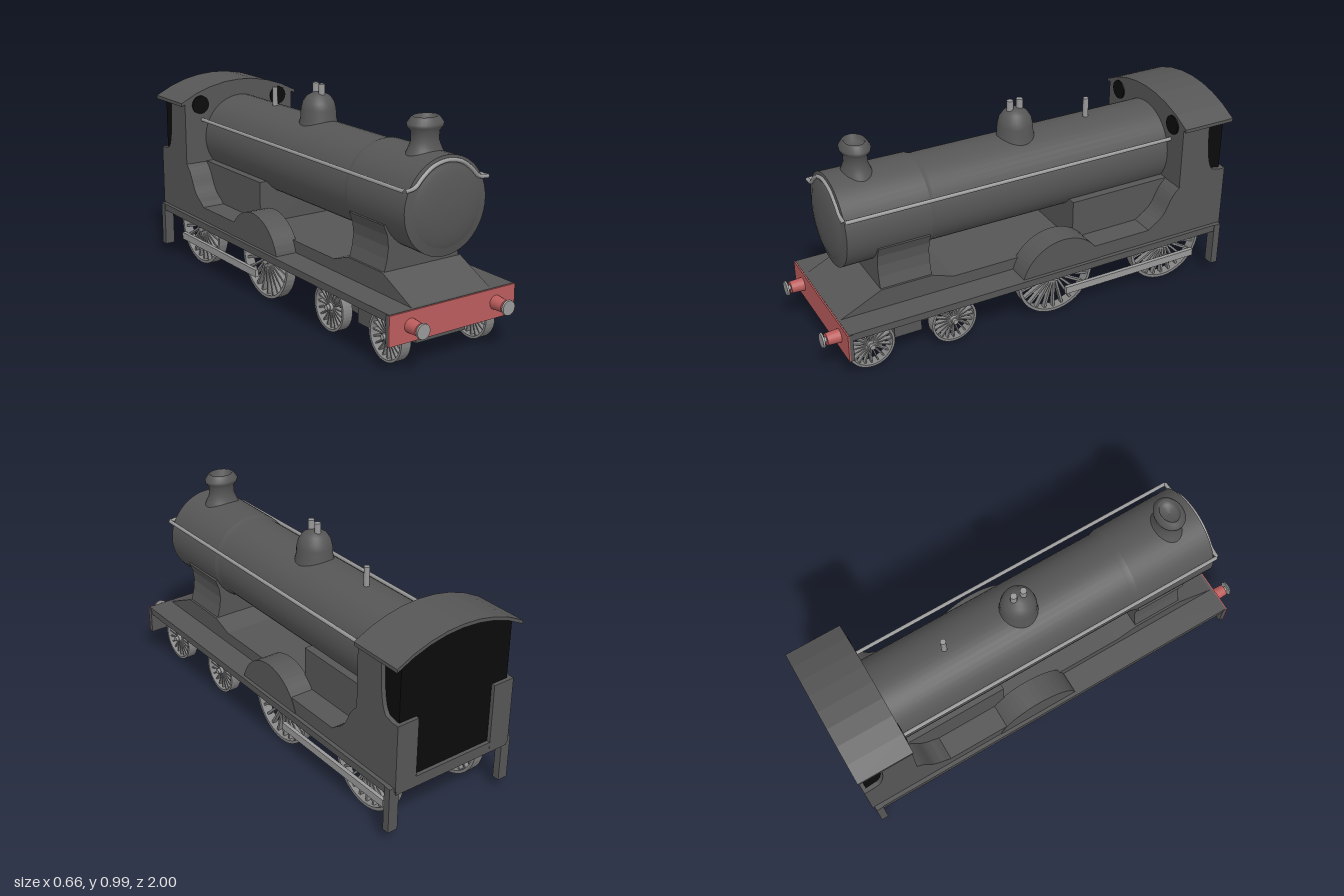
import * as THREE from 'three';

const mat = (name, color, side = THREE.FrontSide) => {
  const m = new THREE.MeshStandardMaterial({ color, side });
  m.name = name;
  return m;
};

export function createModel() {
  const group = new THREE.Group();
  const body = mat('dark grey paint', 0x565656);
  const steel = mat('bright steel', 0x999999);
  const wheelGrey = mat('wheel grey', 0x858585);
  const red = mat('buffer red', 0xbb5c5c);
  const black = mat('black opening', 0x0b0b0b);

  const add = (name, geo, material, x = 0, y = 0, z = 0, parent = group) => {
    const m = new THREE.Mesh(geo, material);
    m.name = name;
    m.position.set(x, y, z);
    parent.add(m);
    return m;
  };
  // box given by its limits
  const box = (name, material, x0, x1, y0, y1, z0, z1) =>
    add(name, new THREE.BoxGeometry(x1 - x0, y1 - y0, z1 - z0), material,
      (x0 + x1) / 2, (y0 + y1) / 2, (z0 + z1) / 2);
  const shapeOf = (pts) => new THREE.Shape(pts.map(([a, b]) => new THREE.Vector2(a, b)));
  const extrude = (shape, depth) =>
    new THREE.ExtrudeGeometry(shape, { depth, bevelEnabled: false, curveSegments: 10 });
  // side profile of (z, y) points, extruded from x0 to x1
  const sidePlate = (name, material, shape, x0, x1) =>
    add(name, extrude(shape, x1 - x0).rotateY(-Math.PI / 2), material, x1);
  // front profile of (x, y) points, extruded from z0 to z1
  const frontPlate = (name, material, shape, z0, z1) =>
    add(name, extrude(shape, z1 - z0), material, 0, 0, z0);
  const lathe = (pts, n = 48) =>
    new THREE.LatheGeometry(pts.map(([r, y]) => new THREE.Vector2(r, y)), n);
  const mirror = (half) => [...half, ...half.map(([x, y]) => [-x, y]).reverse()];

  // boiler, smokebox and door
  const axisY = 0.637;
  add('boiler', lathe([[0.196, -0.75], [0.196, 0.43], [0.205, 0.46]]).rotateX(Math.PI / 2), body, 0, axisY);
  add('smokebox', lathe([[0.205, 0.46], [0.209, 0.848]]).rotateX(Math.PI / 2), body, 0, axisY);
  add('smokeboxFront', lathe([[0.209, 0.848], [0.172, 0.857]]).rotateX(Math.PI / 2), body, 0, axisY);
  add('smokeboxDoor', lathe([[0.172, 0.857], [0.15, 0.866], [0.11, 0.874], [0.06, 0.88], [0, 0.882]])
    .rotateX(Math.PI / 2), body, 0, axisY);
  frontPlate('smokeboxSaddle', body, shapeOf(mirror([
    [0.2, 0.34], [0.182, 0.41], [0.176, 0.46], [0.182, 0.51], [0.2, 0.555]])), 0.47, 0.71);
  box('firebox', body, -0.195, 0.195, 0.26, 0.52, -0.75, -0.24);

  // oval chimney with a hollow top
  const chimney = add('chimney', lathe([
    [0.075, 0.81], [0.06, 0.85], [0.05, 0.88], [0.051, 0.92], [0.064, 0.938], [0.066, 0.952],
    [0.052, 0.974], [0.046, 0.98], [0.042, 0.974], [0.036, 0.95], [0, 0.945]], 32), body, 0, 0, 0.71);
  chimney.scale.x = 1.25;

  // dome with safety valves, and whistle
  add('dome', lathe([[0.092, 0.8], [0.082, 0.84], [0.08, 0.88], [0.072, 0.912], [0.054, 0.938],
    [0.028, 0.953], [0, 0.957]], 32), body, 0, 0, -0.045);
  for (const z of [-0.02, -0.067]) {
    add('safetyValve', new THREE.CylinderGeometry(0.015, 0.015, 0.06, 10), steel, 0, 0.965, z);
  }
  add('whistle', new THREE.CylinderGeometry(0.013, 0.013, 0.1, 10), steel, 0, 0.872, -0.41);

  // handrail running round the smokebox
  const V = (x, y, z) => new THREE.Vector3(x, y, z);
  const rail = new THREE.CurvePath();
  rail.add(new THREE.LineCurve3(V(-0.212, 0.73, -0.74), V(-0.212, 0.73, 0.852)));
  rail.add(new THREE.CatmullRomCurve3([
    [-0.212, 0.73], [-0.165, 0.738], [-0.125, 0.775], [-0.075, 0.81], [0, 0.826],
    [0.075, 0.81], [0.125, 0.775], [0.165, 0.738], [0.212, 0.73]].map(([x, y]) => V(x, y, 0.855))));
  rail.add(new THREE.LineCurve3(V(0.212, 0.73, 0.852), V(0.212, 0.73, -0.74)));
  for (const curve of rail.curves) {
    add('handrail', new THREE.TubeGeometry(curve, 40, 0.009, 8), steel);
  }

  // running plate, raised inner frame, beam
  box('runningPlate', body, -0.325, 0.325, 0.235, 0.268, -0.985, 0.912);
  sidePlate('raisedFrame', body, shapeOf([[0.912, 0.262], [0.71, 0.358], [0.47, 0.358],
    [0.37, 0.322], [-0.25, 0.322], [-0.25, 0.25], [0.912, 0.25]]), -0.205, 0.205);
  box('bufferBeam', body, -0.328, 0.328, 0.135, 0.266, 0.895, 0.912);
  box('bufferBeamFace', red, -0.328, 0.328, 0.135, 0.266, 0.912, 0.918);
  box('motionBracket', body, -0.21, 0.21, 0.168, 0.24, 0.07, 0.225);
  box('bogieFrame', body, -0.13, 0.13, 0.08, 0.13, 0.34, 0.84);
  box('bogieCentre', body, -0.19, 0.19, 0.08, 0.24, 0.525, 0.655);

  // cab: roof arc points, front wall, black inside, roof
  const arc = (half, drop) => Array.from({ length: 9 }, (_, i) => {
    const x = half * (1 - i / 4);
    return [x, 0.265 - drop + Math.sqrt(0.645 ** 2 - x * x)];
  });
  const cabShape = (half, base) => shapeOf([[-half, base], [half, base], ...arc(half, 0.008)]);
  frontPlate('cabFront', body, cabShape(0.305, 0.25), -0.765, -0.742);
  frontPlate('cabInterior', black, cabShape(0.285, 0.272), -0.978, -0.766);
  frontPlate('cabRoof', body, shapeOf([...arc(0.325, 0), ...arc(0.325, 0.016).reverse()]), -1, -0.74);
  box('cabRearSill', body, -0.3, 0.3, 0.235, 0.285, -0.995, -0.96);

  for (const s of [-1, 1]) {
    const span = (a, b) => (s > 0 ? [a, b] : [-b, -a]);

    // cab side with the curved doorway
    const side = shapeOf([[-0.742, 0.25], [-0.742, 0.83], [-0.885, 0.83]]);
    side.quadraticCurveTo(-0.885, 0.6, -0.925, 0.57);
    side.lineTo(-0.965, 0.56);
    side.lineTo(-0.995, 0.56);
    side.lineTo(-0.995, 0.25);
    sidePlate('cabSide', body, side, ...span(0.286, 0.306));
    box('cabRearPanel', body, ...span(0.2, 0.306), 0.25, 0.56, -0.996, -0.979);

    // lower side sheet sweeping up to the cab
    const sheet = shapeOf([[-0.25, 0.25], [-0.25, 0.335], [-0.585, 0.335], [-0.61, 0.355]]);
    sheet.bezierCurveTo(-0.7, 0.4, -0.67, 0.46, -0.745, 0.52);
    sheet.lineTo(-0.745, 0.25);
    sidePlate('sideSheet', body, sheet, ...span(0.19, 0.306));

    // splasher over the leading driving wheel
    const splasher = new THREE.Shape();
    splasher.absarc(-0.125, 0.212, 0.208, 0.22, Math.PI - 0.22);
    sidePlate('splasher', body, splasher, ...span(0.19, 0.308));

    // round cab window
    add('cabWindow', new THREE.CylinderGeometry(0.045, 0.045, 0.006, 28).rotateX(Math.PI / 2),
      black, s * 0.222, 0.805, -0.739);

    // buffer
    const turned = (r0, r1, len) => new THREE.CylinderGeometry(r0, r1, len, 20).rotateX(Math.PI / 2);
    add('bufferHousing', turned(0.027, 0.031, 0.062), red, s * 0.222, 0.205, 0.947);
    add('bufferShank', turned(0.011, 0.011, 0.02), steel, s * 0.222, 0.205, 0.984);
    add('bufferHead', turned(0.032, 0.034, 0.008), steel, s * 0.222, 0.205, 0.996);

    // rear step and side rod
    box('rearStep', body, ...span(0.28, 0.328), 0.056, 0.268, -0.987, -0.953);
    box('couplingRod', steel, ...span(0.252, 0.27), 0.092, 0.127, -0.88, -0.17);
  }

  // spoked wheels in pairs on their axles
  const wheel = (name, x, y, z, r, rim, spokes) => {
    const g = new THREE.Group();
    g.name = name;
    g.position.set(x, y, z);
    group.add(g);
    const i = r - rim;
    const tyre = new THREE.LatheGeometry([[i, -0.024], [r, -0.024], [r, 0.024], [i, 0.024], [i, -0.024]]
      .map(([a, b]) => new THREE.Vector2(a, b)), 40).toNonIndexed();
    tyre.computeVertexNormals();
    add('tyre', tyre.rotateZ(Math.PI / 2), wheelGrey, 0, 0, 0, g);
    add('hub', new THREE.CylinderGeometry(r * 0.16, r * 0.16, 0.05, 16).rotateZ(Math.PI / 2), steel, 0, 0, 0, g);
    for (let k = 0; k < spokes; k++) {
      const spoke = new THREE.BoxGeometry(0.022, i, r * 0.055).translate(0, i / 2, 0);
      add('spoke', spoke.rotateX((k / spokes) * Math.PI * 2), wheelGrey, 0, 0, 0, g);
    }
  };
  const axle = (z, y, r, rim, spokes, name) => {
    for (const s of [-1, 1]) wheel(name, s * 0.222, y, z, r, rim, spokes);
    add('axle', new THREE.CylinderGeometry(0.012, 0.012, 0.52, 12).rotateZ(Math.PI / 2), steel, 0, y, z);
  };
  for (const z of [0.785, 0.39]) axle(z, 0.118, 0.108, 0.011, 20, 'bogieWheel');
  for (const z of [-0.125, -0.73]) axle(z, 0.196, 0.192, 0.014, 24, 'drivingWheel');

  return group;
}
